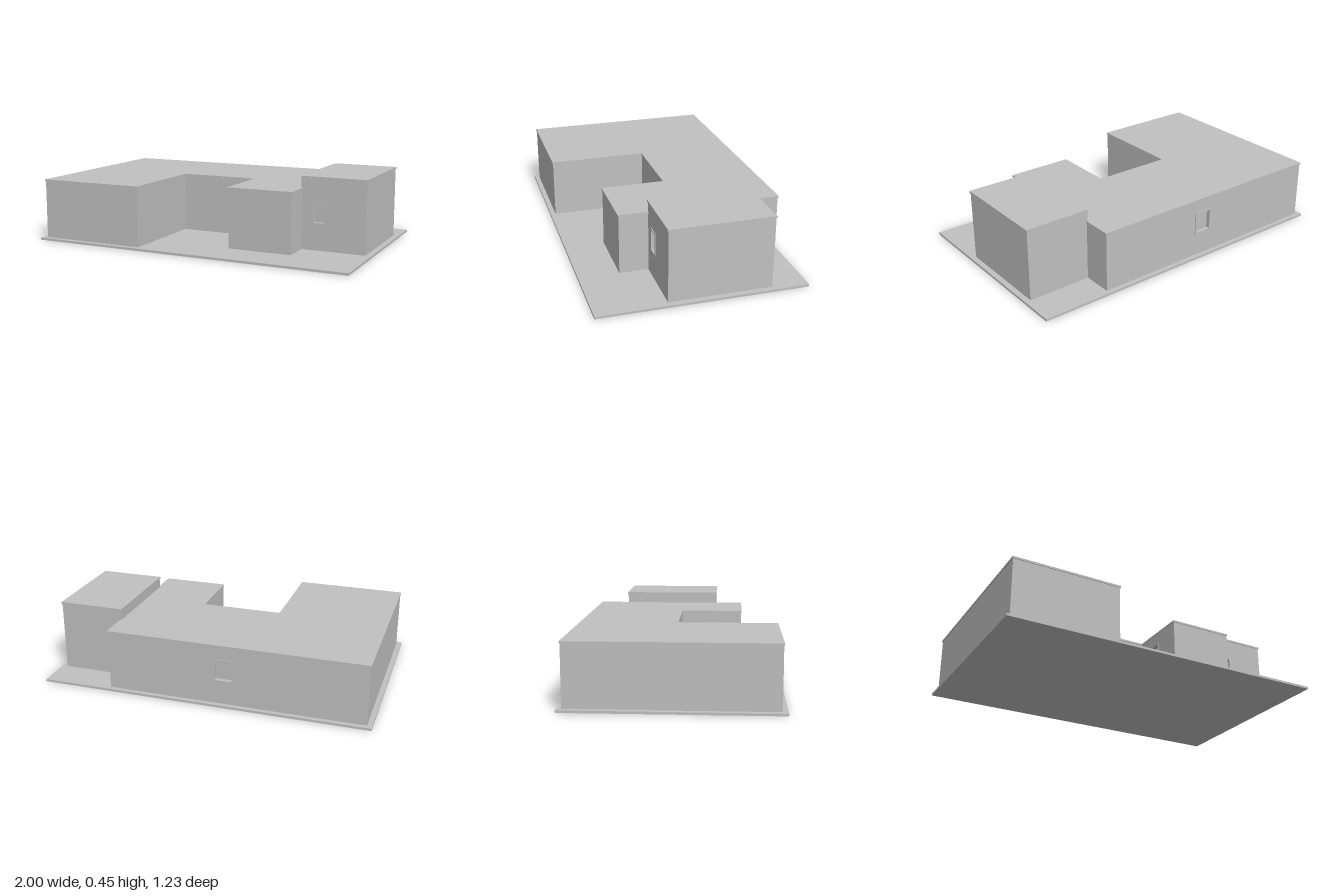
import * as THREE from 'three';

const plaster = new THREE.MeshStandardMaterial({ color: 0xc0c0c0 });
plaster.name = 'pale grey plaster';
const FLOOR = 0.014, WALL = 0.02, ROOF = 0.012;

function add(parent, name, geometry) {
  const mesh = new THREE.Mesh(geometry, plaster);
  mesh.name = name;
  parent.add(mesh);
  return mesh;
}

// rectangle outline, used for wall panels, openings and frames
function rect(path, x, y, w, h) {
  path.moveTo(x, y);
  path.lineTo(x + w, y);
  path.lineTo(x + w, y + h);
  path.lineTo(x, y + h);
  path.closePath();
  return path;
}

function extrude(shape, depth) {
  return new THREE.ExtrudeGeometry(shape, { depth, bevelEnabled: false });
}

// one wall, outer face on the line a-b, with an optional framed window
function buildWall(a, b, height, win) {
  const wall = new THREE.Group();
  wall.name = 'wall';
  const dx = b[0] - a[0], dz = b[1] - a[1];
  wall.position.set(a[0], FLOOR, a[1]);
  wall.rotation.y = Math.atan2(-dz, dx);
  const panel = rect(new THREE.Shape(), 0, 0, Math.hypot(dx, dz), height);
  if (win) {
    const { at, sill, w, h } = win, t = 0.009;
    const opening = () => rect(new THREE.Path(), at + t, sill + t, w - 2 * t, h - 2 * t);
    panel.holes.push(opening());
    const frame = rect(new THREE.Shape(), at, sill, w, h);
    frame.holes.push(opening());
    add(wall, 'windowFrame', extrude(frame, 0.005));
    add(wall, 'windowPane', new THREE.BoxGeometry(w, h, 0.004))
      .position.set(at + w / 2, sill + h / 2, -WALL - 0.002);
  }
  add(wall, 'wallPanel', extrude(panel, WALL)).position.z = -WALL;
  return wall;
}

// flat-roofed block; plan corners [x, z] run front edge left to right first
function buildBlock(name, plan, top, windows) {
  const block = new THREE.Group();
  block.name = name;
  const n = plan.length;
  const normal = (i) => {
    const a = plan[i % n], b = plan[(i + 1) % n];
    const dx = b[0] - a[0], dz = b[1] - a[1], l = Math.hypot(dx, dz);
    return [-dz / l, dx / l];
  };
  plan.forEach((p, i) =>
    block.add(buildWall(p, plan[(i + 1) % n], top - ROOF - FLOOR, windows[i])));

  // roof slab with a slight overhang
  const eave = plan.map((p, i) => {
    const u = normal(i + n - 1), v = normal(i);
    return new THREE.Vector2(p[0] + (u[0] + v[0]) * 0.004, -(p[1] + (u[1] + v[1]) * 0.004));
  });
  const roof = add(block, 'roof', extrude(new THREE.Shape(eave), ROOF));
  roof.rotation.x = -Math.PI / 2;
  roof.position.y = top - ROOF;
  return block;
}

export function createModel() {
  const model = new THREE.Group();
  model.name = 'courtyardHouse';

  // ground slab
  add(model, 'base', new THREE.BoxGeometry(2, FLOOR, 1.23)).position.y = FLOOR / 2;

  // low U-shaped house around the courtyard
  const house = [
    [-0.97, 0.584], [-0.312, 0.584], [-0.312, -0.008], [0.184, -0.008],
    [0.184, 0.374], [0.578, 0.374], [0.578, -0.587], [-0.97, -0.587],
  ];
  model.add(buildBlock('house', house, 0.38, {
    3: { at: 0.08, sill: 0.13, w: 0.125, h: 0.16 }, // courtyard window
    6: { at: 0.653, sill: 0.14, w: 0.12, h: 0.14 }, // back window
  }));

  // taller block at the side
  const tower = [[0.572, 0.201], [0.966, 0.201], [0.966, -0.406], [0.572, -0.406]];
  model.add(buildBlock('tallBlock', tower, 0.45, {
    0: { at: 0.07, sill: 0.156, w: 0.085, h: 0.14 }, // front window
  }));

  return model;
}
